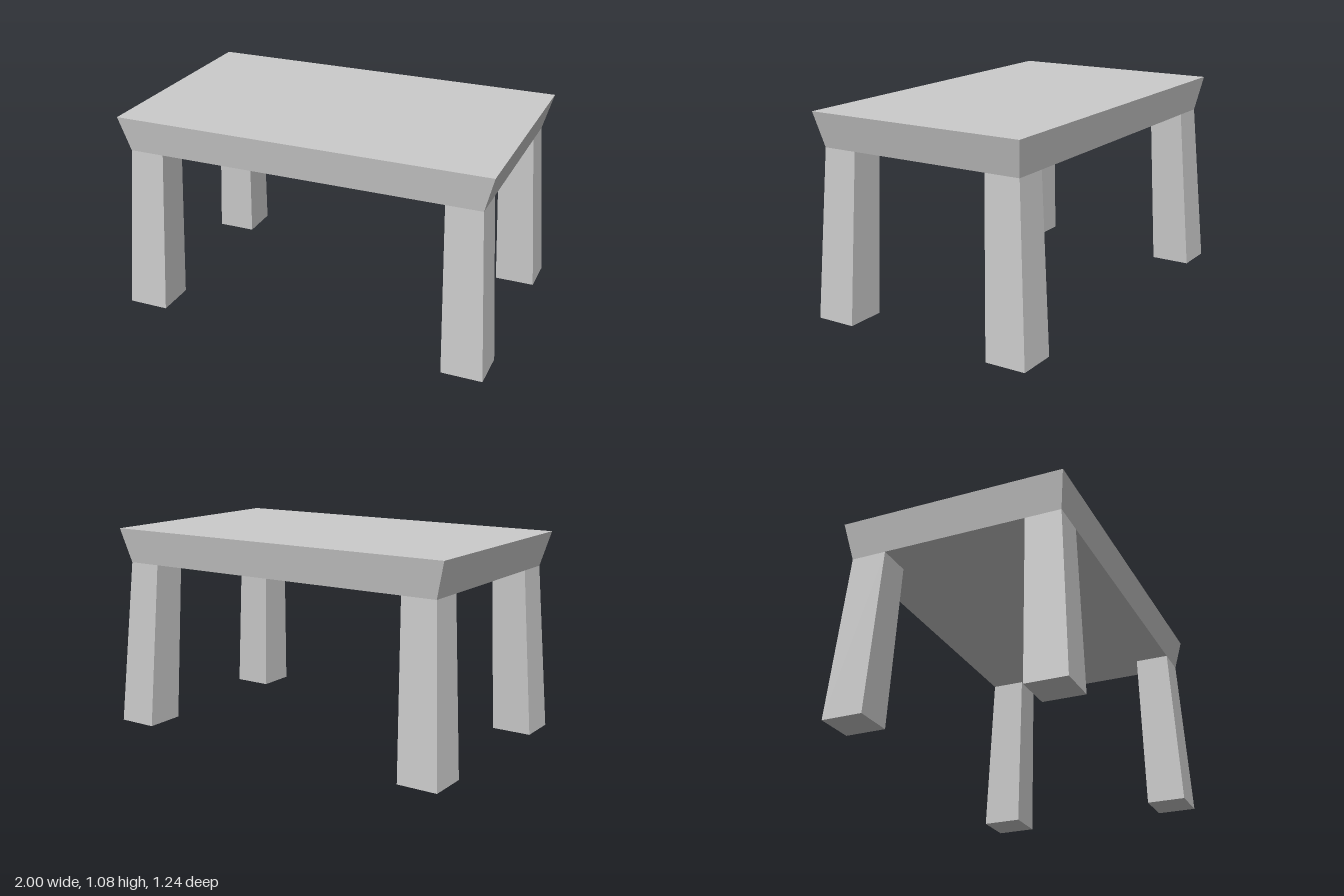
import * as THREE from 'three';

const material = new THREE.MeshStandardMaterial({ color: 0xcccccc, flatShading: true });

// Tapered block between two rectangles, each given as [x0, x1, z0, z1]
function taperedBlock(name, y0, bottom, y1, top) {
  const geometry = new THREE.BoxGeometry(1, 1, 1);
  const p = geometry.attributes.position;
  for (let i = 0; i < p.count; i++) {
    const upper = p.getY(i) > 0;
    const [x0, x1, z0, z1] = upper ? top : bottom;
    p.setXYZ(i, p.getX(i) > 0 ? x1 : x0, upper ? y1 : y0, p.getZ(i) > 0 ? z1 : z0);
  }
  geometry.computeVertexNormals();
  const mesh = new THREE.Mesh(geometry, material);
  mesh.name = name;
  return mesh;
}

export function createModel() {
  const group = new THREE.Group();
  group.name = 'table';
  const legTop = 0.892, height = 1.078;

  // Slab flaring out toward the top
  group.add(taperedBlock('tableTop', legTop, [-0.943, 0.943, -0.56, 0.578],
    height, [-0.994, 0.994, -0.592, 0.608]));

  // Splayed legs, slightly wider at the foot
  const rows = [
    { label: 'front', foot: [0.408, 0.622], head: [0.39, 0.578] },
    { label: 'back', foot: [-0.622, -0.406], head: [-0.56, -0.372] },
  ];
  for (const { label, foot, head } of rows) {
    group.add(taperedBlock(label + 'LeftLeg', 0, [0.785, 1, ...foot], legTop, [0.757, 0.943, ...head]));
    group.add(taperedBlock(label + 'RightLeg', 0, [-1, -0.785, ...foot], legTop, [-0.943, -0.757, ...head]));
  }
  return group;
}
